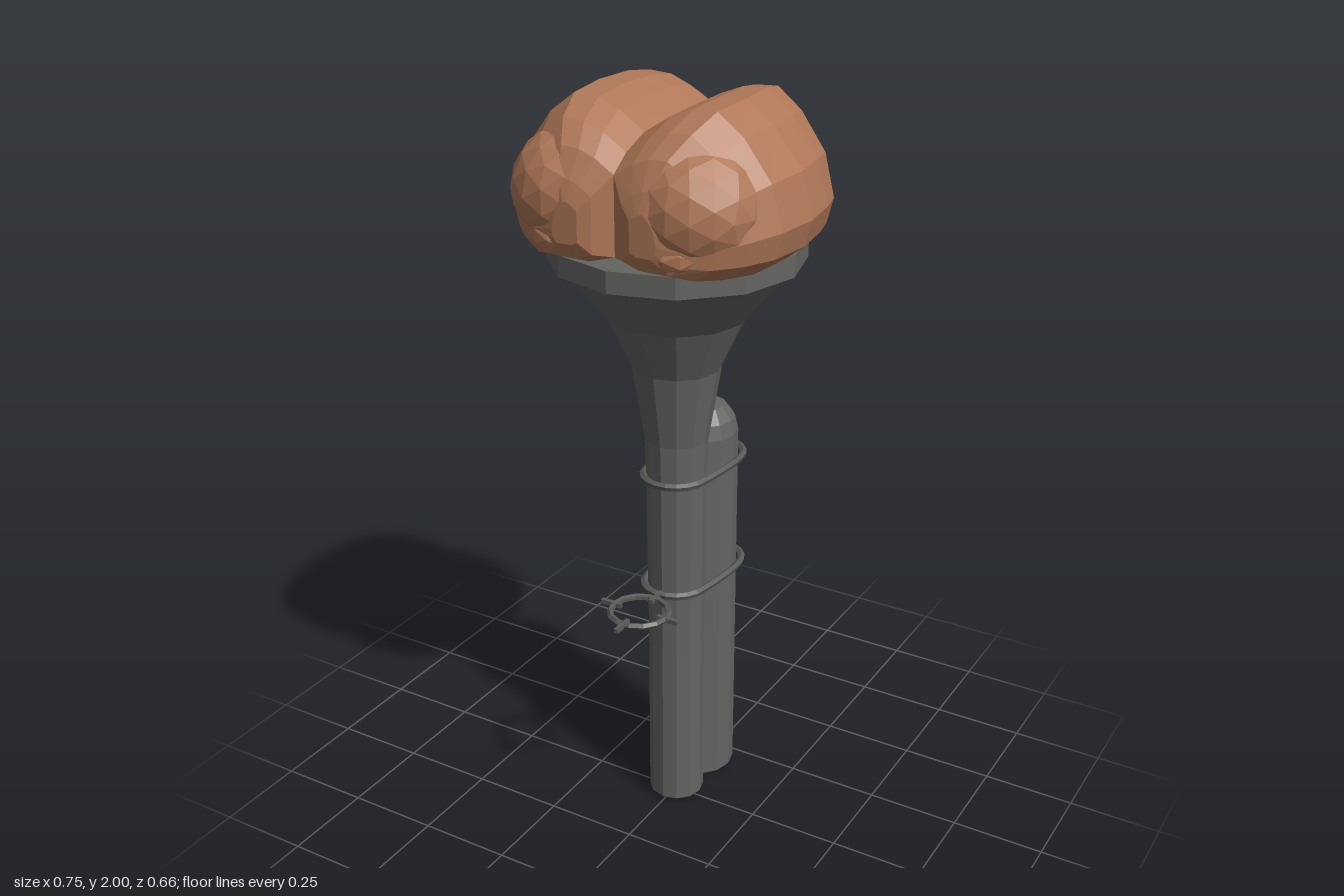
import * as THREE from 'three';

const brown = new THREE.MeshStandardMaterial({ color: 0xb07858, flatShading: true });
brown.name = 'clay brown';
const grey = new THREE.MeshStandardMaterial({ color: 0x636562, flatShading: true });
grey.name = 'iron grey';
const dark = new THREE.MeshStandardMaterial({ color: 0x585b57, flatShading: true });
dark.name = 'wire grey';

function add(parent, name, geometry, material, x = 0, y = 0, z = 0) {
  const mesh = new THREE.Mesh(geometry, material);
  mesh.name = name;
  mesh.position.set(x, y, z);
  parent.add(mesh);
  return mesh;
}

function lathe(points, sides) {
  return new THREE.LatheGeometry(points.map(([r, y]) => new THREE.Vector2(r, y)), sides);
}

// Hemisphere outline: u runs from the cleft outwards, v from bottom to top
const SECTION = [[1, .3], [.92, .6], [.72, .86], [.53, 1], [.35, .99], [.19, .93],
  [0, .81], [0, .45], [0, .08], [.27, 0], [.8, 0], [.95, .12]];
// Stations front to back: z, inner x, outer x, bottom y, top y
const STATIONS = [
  [.325, .07, .14, 1.69, 1.79], [.31, .04, .2, 1.655, 1.84], [.275, 0, .265, 1.64, 1.905],
  [.22, 0, .32, 1.635, 1.955], [.14, 0, .36, 1.63, 1.993], [.02, 0, .376, 1.63, 2],
  [-.1, 0, .358, 1.63, 2], [-.18, 0, .335, 1.63, 1.988], [-.23, 0, .31, 1.635, 1.955],
  [-.27, 0, .27, 1.64, 1.92], [-.3, .03, .23, 1.645, 1.87], [-.32, .08, .17, 1.655, 1.8]];

function hemisphereGeometry(side) {
  const n = SECTION.length, last = STATIONS.length - 1;
  const position = [], index = [];
  for (const [z, xi, xo, y0, y1] of STATIONS)
    for (const [u, v] of SECTION)
      position.push(side * (xi + (xo - xi) * u), y0 + (y1 - y0) * v, z);
  const tri = (a, b, c) => side > 0 ? index.push(a, b, c) : index.push(a, c, b);
  for (let i = 0; i < last; i++)
    for (let j = 0; j < n; j++) {
      const k = (j + 1) % n;
      const a = i * n + j, b = i * n + k, c = a + n, d = b + n;
      tri(a, c, d);
      tri(a, d, b);
    }
  // End caps
  for (let j = 1; j < n - 1; j++) {
    tri(0, j, j + 1);
    tri(last * n, last * n + j + 1, last * n + j);
  }
  const g = new THREE.BufferGeometry();
  g.setAttribute('position', new THREE.Float32BufferAttribute(position, 3));
  g.setIndex(index);
  g.computeVertexNormals();
  return g;
}

// Wire loop around both rods
function bandGeometry() {
  const points = [];
  for (let i = 0; i <= 6; i++) {
    const a = Math.PI * i / 6;
    points.push(new THREE.Vector3(.085 * Math.cos(a), 0, .083 * Math.sin(a)));
  }
  for (let i = 0; i <= 6; i++) {
    const a = Math.PI * (1 + i / 6);
    points.push(new THREE.Vector3(.098 * Math.cos(a), 0, -.165 + .098 * Math.sin(a)));
  }
  return new THREE.TubeGeometry(new THREE.CatmullRomCurve3(points, true), 32, .01, 5, true);
}

export function createModel() {
  const model = new THREE.Group();
  model.name = 'brainOnStand';

  // Flared stand with a flat rim
  add(model, 'flaredStand', lathe([[0, 0], [.06, 0], [.075, .012], [.075, .5], [.08, 1], [.083, 1.1],
    [.115, 1.3], [.18, 1.44], [.285, 1.565], [.315, 1.58], [.322, 1.585], [.322, 1.64],
    [.29, 1.64], [0, 1.635]], 12), grey, 0, 0, -.006);

  // Round-topped rod behind the stand
  const rod = add(model, 'rearRod', lathe([[0, 0], [.08, 0], [.093, .012], [.093, 1.06], [.083, 1.1],
    [.055, 1.135], [0, 1.14]], 12), grey, 0, 0, -.163);
  rod.scale.x = .88;

  // Wire bands
  for (const y of [.675, .995]) add(model, 'wireBand', bandGeometry(), dark, 0, y, 0);

  // Front ring with four prongs
  const ring = new THREE.Group();
  ring.name = 'frontRing';
  ring.position.set(0, .675, .185);
  model.add(ring);
  add(ring, 'ring', new THREE.TorusGeometry(.077, .009, 5, 14), dark).rotation.x = Math.PI / 2;
  for (let i = 0; i < 4; i++) {
    const a = i * Math.PI / 2;
    const prong = add(ring, 'prong', new THREE.BoxGeometry(.012, .012, .06), dark,
      Math.sin(a) * .085, 0, Math.cos(a) * .085);
    prong.rotation.y = a;
  }

  // Brain halves with bulging front and lower lobes
  for (const side of [1, -1]) {
    const half = new THREE.Group();
    half.name = side > 0 ? 'leftBrainHalf' : 'rightBrainHalf';
    model.add(half);
    add(half, 'hemisphere', hemisphereGeometry(side), brown);
    const front = add(half, 'frontLobe', new THREE.IcosahedronGeometry(1, 2), brown, side * .165, 1.78, .175);
    front.scale.set(.16, .155, .157);
    const lower = add(half, 'lowerLobe', new THREE.IcosahedronGeometry(1, 1), brown, side * .155, 1.69, .26);
    lower.scale.set(.08, .05, .065);
  }
  return model;
}
